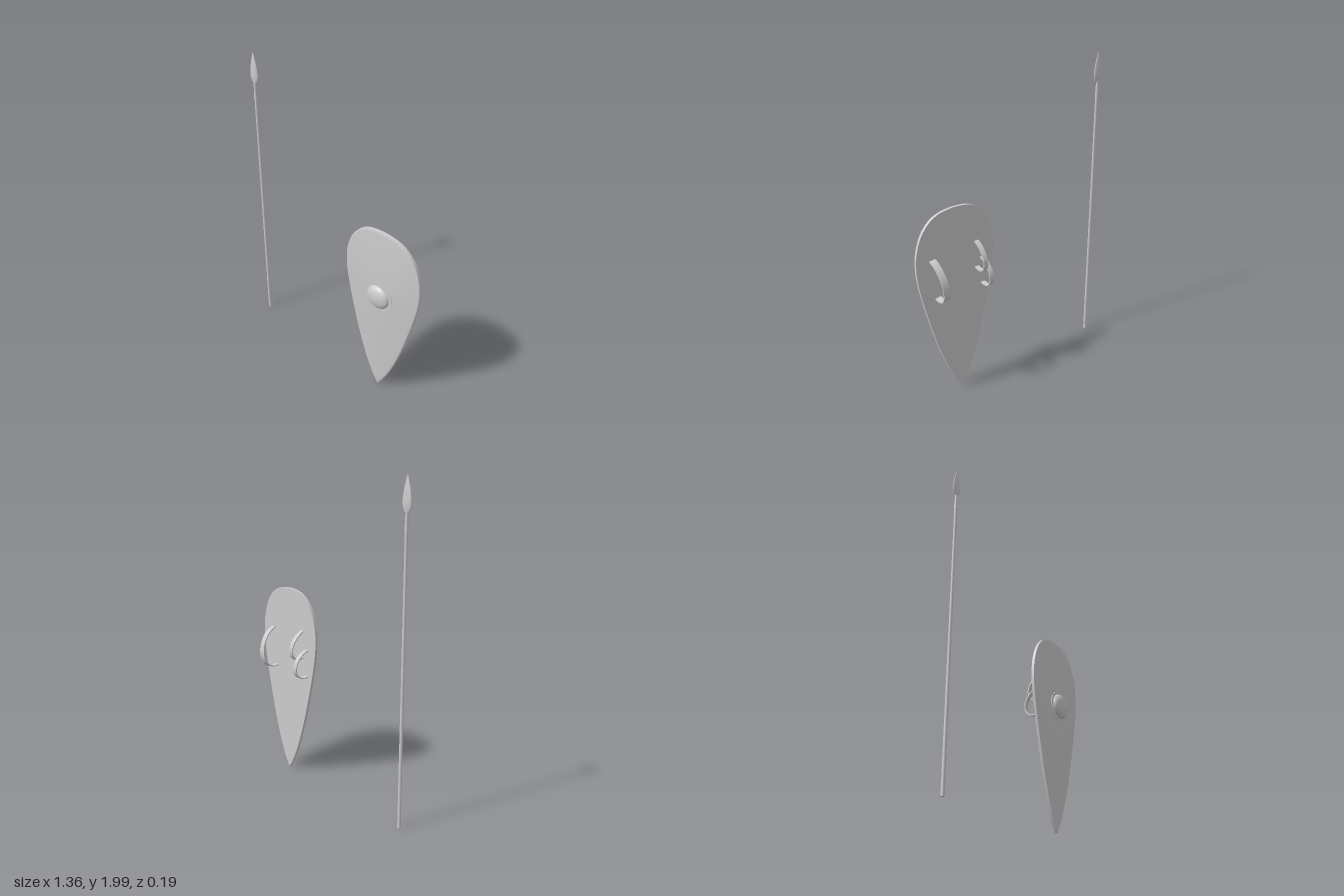
import * as THREE from 'three';
import { toCreasedNormals } from 'three/addons/utils/BufferGeometryUtils.js';

const material = new THREE.MeshStandardMaterial({ color: 0xcccccc });
const V2 = (x, y) => new THREE.Vector2(x, y);

function addMesh(parent, name, geometry, x = 0, y = 0, z = 0) {
  const mesh = new THREE.Mesh(geometry, material);
  mesh.name = name;
  mesh.position.set(x, y, z);
  parent.add(mesh);
  return mesh;
}

// Kite-shaped board: flat tilted back, thin edge, gently domed front.
function boardGeometry() {
  const half = new THREE.SplineCurve([
    [0, 0.01], [0.05, 0.095], [0.1, 0.21], [0.157, 0.38], [0.2, 0.54], [0.238, 0.7], [0.263, 0.83],
    [0.272, 0.94], [0.262, 1.04], [0.225, 1.14], [0.165, 1.21], [0.09, 1.245], [0, 1.255],
  ].map(([x, y]) => V2(x, y))).getPoints(48);
  const mirrored = half.slice(1, -1).reverse().map((p) => V2(-p.x, p.y));
  const outline = [...half, ...mirrored]; // counter-clockwise from the front
  const n = outline.length;
  const centreY = 0.8;
  const positions = [], index = [];

  // each row is [scale about the centre, height above the back]
  const addBand = (rows) => {
    const start = positions.length / 3;
    for (const [s, h] of rows) {
      for (const p of outline) {
        const y = centreY + (p.y - centreY) * s;
        positions.push(p.x * s, y, 0.004 + 0.0125 * y + h);
      }
    }
    for (let r = 0; r < rows.length - 1; r++) {
      for (let i = 0; i < n; i++) {
        const a = start + r * n + i, b = start + r * n + (i + 1) % n;
        index.push(a, b, b + n, a, b + n, a + n);
      }
    }
  };
  addBand([[0.001, 0], [0.5, 0], [1, 0]]);
  addBand([[1, 0], [1, 0.018]]);
  addBand([[1, 0.018], [0.975, 0.021]]);
  const front = [];
  for (let i = 0; i <= 10; i++) {
    const s = 0.975 * (1 - i / 10) + 0.001;
    front.push([s, 0.021 + 0.024 * (1 - Math.pow(s / 0.976, 1.5))]);
  }
  addBand(front);

  const geometry = new THREE.BufferGeometry();
  geometry.setAttribute('position', new THREE.Float32BufferAttribute(positions, 3));
  geometry.setIndex(index);
  geometry.computeVertexNormals();
  return geometry;
}

// Curved strap lying in the y-z plane, bulging backwards and sagging a little.
function strapGeometry(halfHeight, depth, sag, width) {
  const thickness = 0.007, steps = 28;
  const arc = (inset) => Array.from({ length: steps + 1 }, (_, i) => {
    const a = -Math.PI / 2 + Math.PI * i / steps;
    return V2((depth - inset) * Math.cos(a), (halfHeight - inset) * Math.sin(a) - sag * Math.cos(a));
  });
  const shape = new THREE.Shape([...arc(0), ...arc(thickness).reverse()]);
  const geometry = new THREE.ExtrudeGeometry(shape, { depth: width, bevelEnabled: false });
  geometry.translate(0, 0, -width / 2);
  geometry.rotateY(Math.PI / 2);
  return toCreasedNormals(geometry, 0.7);
}

function createShield() {
  const shield = new THREE.Group();
  shield.name = 'shield';
  addMesh(shield, 'shieldBoard', boardGeometry());

  // Boss: thin flange with a rounded dome
  const profile = [V2(0.1, 0), V2(0.1, 0.004), V2(0.08, 0.004)];
  for (let i = 1; i <= 14; i++) {
    const a = (i / 14) * Math.PI / 2;
    profile.push(V2(Math.max(0, 0.08 * Math.cos(a)), 0.004 + 0.037 * Math.sin(a)));
  }
  const boss = new THREE.LatheGeometry(profile, 40);
  boss.rotateX(Math.PI / 2);
  addMesh(shield, 'shieldBoss', toCreasedNormals(boss, 0.6), 0, 0.8, 0.055);

  // Straps on the back
  addMesh(shield, 'upperHandStrap', strapGeometry(0.09, 0.097, 0.035, 0.03), -0.144, 0.91, 0.015);
  addMesh(shield, 'lowerHandStrap', strapGeometry(0.09, 0.097, 0.025, 0.03), -0.184, 0.79, 0.014);
  const armStrap = addMesh(shield, 'armStrap', strapGeometry(0.132, 0.114, 0.035, 0.042), 0.152, 0.84, 0.015);
  armStrap.rotation.z = -0.1;

  shield.position.x = 0.404;
  return shield;
}

function createSpear() {
  const spear = new THREE.Group();
  spear.name = 'spear';
  addMesh(spear, 'spearShaft', new THREE.CylinderGeometry(0.0085, 0.0105, 1.72, 16), 0, 0.86, 0);
  addMesh(spear, 'spearSocket', new THREE.CylinderGeometry(0.007, 0.0105, 0.11, 16), 0, 1.75, 0);

  // Leaf-shaped head, flattened front to back
  const leaf = new THREE.SplineCurve([
    [0.008, 0], [0.021, 0.012], [0.03, 0.04], [0.031, 0.065], [0.024, 0.115], [0.011, 0.165], [0, 0.2],
  ].map(([x, y]) => V2(x, y))).getPoints(28);
  leaf.forEach((p) => { p.x = Math.max(0, p.x); });
  const head = new THREE.LatheGeometry([V2(0, 0), ...leaf], 24);
  head.scale(1, 1, 0.3);
  addMesh(spear, 'spearHead', head, 0, 1.79, 0);

  spear.position.set(-0.656, 0.01, -0.015);
  spear.rotation.set(-0.001, 0, -0.003);
  return spear;
}

export function createModel() {
  const model = new THREE.Group();
  model.name = 'spearAndShield';
  model.add(createShield(), createSpear());
  return model;
}
